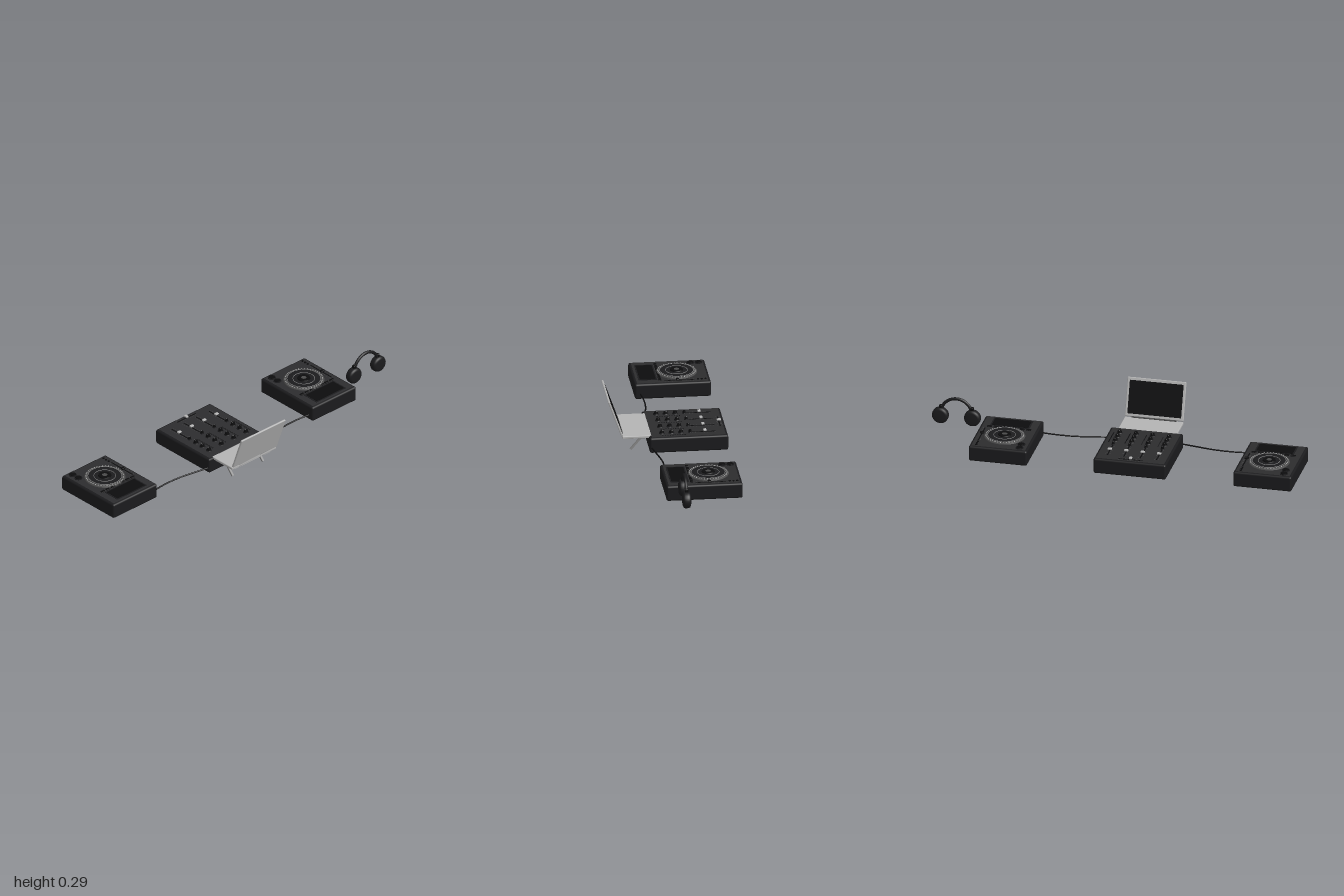
import * as THREE from 'three';
import { RoundedBoxGeometry } from 'three/addons/geometries/RoundedBoxGeometry.js';

const paint = (color) => new THREE.MeshStandardMaterial({ color });
const black = paint(0x1b1b1d), plate = paint(0x2c2c2e), gloss = paint(0x0c0c0d);
const silver = paint(0xb4b4b4), steel = paint(0x8a8a8a), grey = paint(0x4a4a4a);

function add(parent, name, geometry, material, x = 0, y = 0, z = 0) {
  const mesh = new THREE.Mesh(geometry, material);
  mesh.name = name;
  mesh.position.set(x, y, z);
  parent.add(mesh);
  return mesh;
}
const box = (w, h, d) => new THREE.BoxGeometry(w, h, d);
const rounded = (w, h, d, r) => new RoundedBoxGeometry(w, h, d, 2, r);
const disc = (r, h, top = r) => new THREE.CylinderGeometry(top, r, h, 24);
const lathe = (pts, n = 48) => new THREE.LatheGeometry(pts.map(([r, y]) => new THREE.Vector2(r, y)), n);
const TOP = 0.093;

// Housing with a slightly lighter control plate on top
function housing(parent, name, w, d, z) {
  add(parent, name, rounded(w, 0.083, d, 0.01), black, 0, 0.0495, z);
  add(parent, name + 'Plate', box(w - 0.024, 0.004, d - 0.024), plate, 0, 0.091, z);
}

// Slot with scale marks and a cap; runs along z
function fader(parent, name, x, z, length, capMaterial, capOffset, capHeight) {
  const g = new THREE.Group();
  g.name = name;
  g.position.set(x, TOP, z);
  parent.add(g);
  add(g, 'slot', box(0.006, 0.002, length), gloss);
  for (let i = 0; i < 9; i++) for (const s of [-1, 1])
    add(g, 'scaleMark', box(0.007, 0.001, 0.0015), grey, s * 0.01, 0, (i / 8 - 0.5) * length * 0.94);
  add(g, 'capStem', box(0.005, 0.01, 0.006), gloss, 0, 0.003, capOffset);
  add(g, 'faderCap', rounded(0.022, 0.009, 0.016, 0.003), capMaterial, 0, capHeight, capOffset);
  return g;
}

function knob(parent, name, x, z, r) {
  add(parent, name + 'Skirt', disc(r * 1.3, 0.004, r * 1.15), black, x, TOP + 0.002, z);
  add(parent, name, disc(r, 0.013, r * 0.85), gloss, x, TOP + 0.0075, z);
  add(parent, name + 'Pointer', box(0.002, 0.001, r * 0.8), steel, x, TOP + 0.0143, z - r * 0.4);
}

function createDeck(name, x) {
  const deck = new THREE.Group();
  deck.name = name;
  deck.position.x = x;
  housing(deck, 'deckHousing', 0.312, 0.4, -0.11);

  // Jog wheel: sloped metal rim, dark platter, dotted ring and centre display
  const jog = new THREE.Group();
  jog.name = 'jogWheel';
  jog.position.set(0, 0.088, -0.146);
  deck.add(jog);
  add(jog, 'jogRim', lathe([[0.108, 0], [0.108, 0.006], [0.104, 0.01], [0.096, 0.012], [0.09, 0.012]]), grey);
  add(jog, 'jogPlatter', lathe([[0.091, 0.011], [0.088, 0.0135], [0.06, 0.0135], [0.058, 0.012], [0.055, 0.012],
    [0.053, 0.0145], [0.036, 0.0145], [0, 0.0145]]), black);
  for (const [r, y] of [[0.088, 0.0135], [0.057, 0.0135]]) {
    const ring = add(jog, 'jogRing', new THREE.TorusGeometry(r, 0.0014, 6, 48), steel, 0, y, 0);
    ring.rotation.x = Math.PI / 2;
  }
  for (let i = 0; i < 40; i++) {
    const a = (i / 40) * Math.PI * 2;
    add(jog, 'rimDot', new THREE.CylinderGeometry(0.003, 0.003, 0.002, 8), silver, 0.098 * Math.cos(a), 0.012, 0.098 * Math.sin(a));
  }
  add(jog, 'jogHub', disc(0.035, 0.005, 0.033), gloss, 0, 0.0165, 0);
  add(jog, 'jogHubCap', disc(0.014, 0.001), grey, 0, 0.0193, 0);

  // Display, row of pads, play and cue buttons
  add(deck, 'displayFrame', box(0.21, 0.003, 0.098), black, 0, TOP, 0.016);
  add(deck, 'display', box(0.194, 0.002, 0.084), gloss, 0, TOP + 0.0015, 0.016);
  for (let i = 0; i < 7; i++)
    add(deck, 'pad', rounded(0.026, 0.006, 0.015, 0.002), gloss, -0.105 + i * 0.035, TOP + 0.001, -0.046);
  for (const z of [-0.274, -0.231]) {
    add(deck, 'buttonRing', disc(0.021, 0.005), black, -0.109, TOP + 0.001, z);
    add(deck, 'roundButton', disc(0.017, 0.005, 0.016), gloss, -0.109, TOP + 0.004, z);
  }
  for (let i = 0; i < 3; i++)
    add(deck, 'smallButton', disc(0.006, 0.005), gloss, 0.12, TOP + 0.001, -0.285 + i * 0.02);
  fader(deck, 'tempoFader', 0.123, -0.146, 0.16, gloss, 0.008, 0.006);
  return deck;
}

function createMixer() {
  const mixer = new THREE.Group();
  mixer.name = 'mixer';
  mixer.position.x = -0.134;
  housing(mixer, 'mixerHousing', 0.388, 0.412, -0.107);

  // Four channel strips: fader, knobs and level lights
  for (let c = 0; c < 4; c++) {
    const x = (c - 1.5) * 0.088;
    fader(mixer, 'channelFader', x, -0.192, 0.128, silver, -0.004, 0.01);
    [-0.118, -0.07, -0.02, 0.03].forEach((z, i) => knob(mixer, 'channelKnob', x, z, i ? 0.012 : 0.008));
    for (let i = 0; i < 10; i++)
      add(mixer, 'levelLight', box(0.005, 0.002, 0.007), gloss, x + 0.031, TOP, -0.09 + i * 0.013);
  }
  const cross = fader(mixer, 'crossfader', 0, -0.285, 0.13, silver, 0, 0.01);
  cross.rotation.y = Math.PI / 2;
  return mixer;
}

function createLaptop() {
  const laptop = new THREE.Group();
  laptop.name = 'laptop';
  laptop.position.x = -0.138;
  add(laptop, 'laptopBase', rounded(0.314, 0.015, 0.198, 0.004), silver, 0, 0.0845, 0.14);
  add(laptop, 'standTray', box(0.25, 0.011, 0.14), silver, 0, 0.0725, 0.158);

  // Lid leans back from its hinge; screen faces the rear
  const lid = new THREE.Group();
  lid.name = 'laptopLid';
  lid.position.set(0, 0.095, 0.24);
  lid.rotation.x = 0.345;
  laptop.add(lid);
  add(lid, 'lidShell', rounded(0.314, 0.206, 0.011, 0.004), silver, 0, 0.103, 0);
  add(lid, 'screen', box(0.288, 0.176, 0.002), gloss, 0, 0.103, -0.0053);
  const hinge = add(laptop, 'hinge', new THREE.CylinderGeometry(0.005, 0.005, 0.24, 12), grey, 0, 0.094, 0.236);
  hinge.rotation.z = Math.PI / 2;

  // Slanted stand legs
  for (const s of [-1, 1]) {
    const leg = add(laptop, 'standLeg', box(0.011, 0.098, 0.01), steel, s * 0.107, 0.0375, 0.159);
    leg.rotation.x = -0.708;
  }
  return laptop;
}

function createHeadphones() {
  const phones = new THREE.Group();
  phones.name = 'headphones';
  phones.position.set(0.868, 0, 0.012);
  // Round ear cups facing front and back
  const cup = lathe([[0, -0.021], [0.03, -0.021], [0.04, -0.017], [0.044, -0.009], [0.044, 0.009],
    [0.04, 0.017], [0.03, 0.021], [0, 0.021]], 32);
  for (const s of [-1, 1]) {
    add(phones, 'earCup', cup, black, s * 0.086, 0.105, 0).rotation.x = Math.PI / 2;
    add(phones, 'bandArm', rounded(0.016, 0.05, 0.018, 0.004), gloss, s * 0.084, 0.14, 0);
  }
  add(phones, 'headband', new THREE.TorusGeometry(0.082, 0.0085, 10, 40, Math.PI), black, 0, 0.123, 0);
  return phones;
}

// Cable sagging between a list of points
function cable(parent, name, pts, r) {
  const path = new THREE.CatmullRomCurve3(pts.map((p) => new THREE.Vector3(...p)));
  add(parent, name, new THREE.TubeGeometry(path, 32, r, 8), gloss);
}

export function createModel() {
  const model = new THREE.Group();
  model.name = 'mixingSetup';
  model.add(createDeck('rightDeck', -0.844), createDeck('leftDeck', 0.573), createMixer(), createLaptop(), createHeadphones());
  // Cables mirrored about the mixer
  for (const s of [-1, 1])
    cable(model, 'deckCable', [[0.18, 0.09], [0.27, 0.073], [0.37, 0.056], [0.47, 0.053], [0.57, 0.062]]
      .map(([x, z]) => [-0.134 + s * x, 0.036, z]), 0.004);
  cable(model, 'laptopCable', [[-0.13, 0.055, 0.09], [-0.11, 0.058, 0.108], [-0.09, 0.068, 0.125]], 0.004);
  return model;
}
